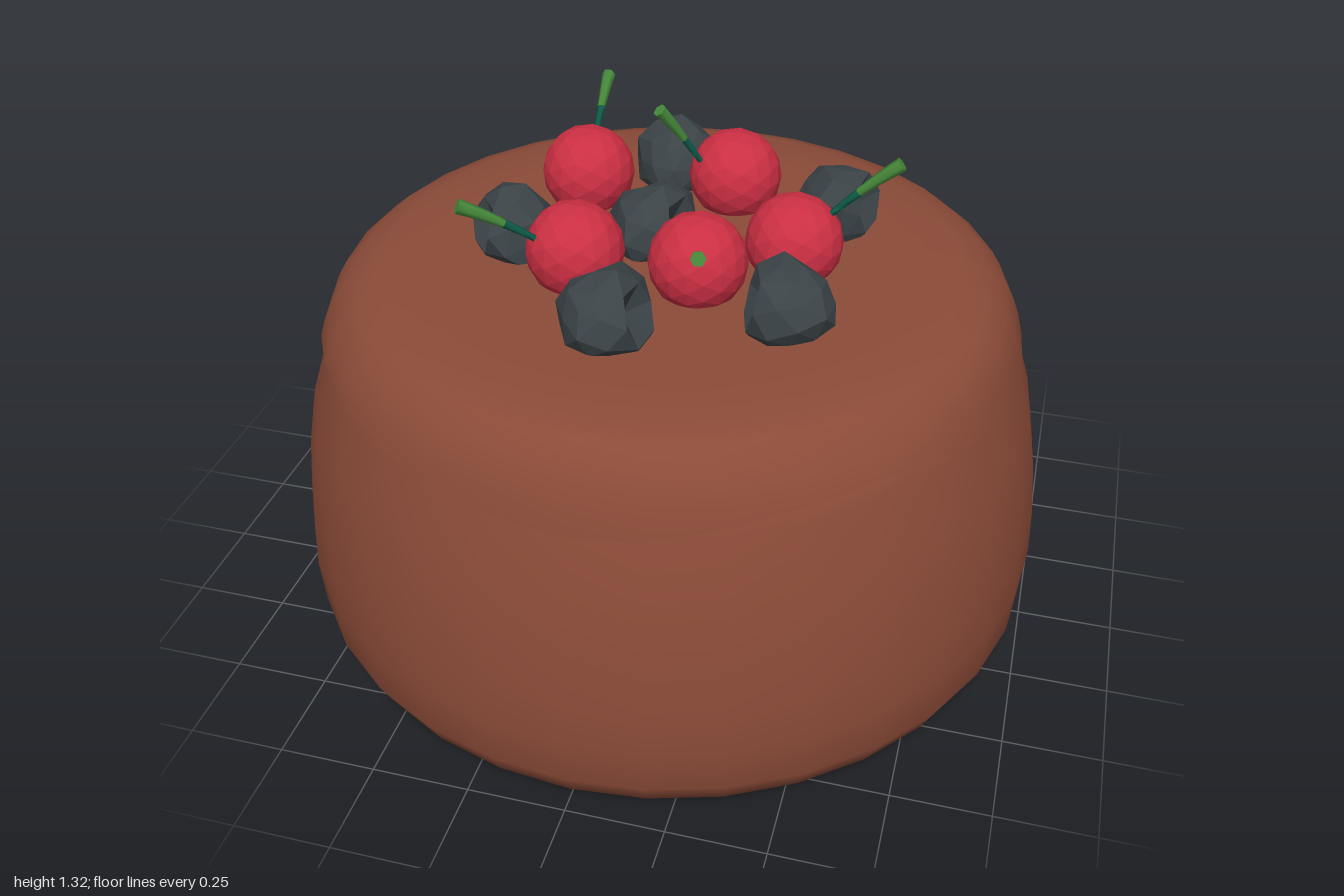
import * as THREE from 'three';
import { mergeVertices, toCreasedNormals } from 'three/addons/utils/BufferGeometryUtils.js';

const material = (name, color) => {
  const m = new THREE.MeshStandardMaterial({ color });
  m.name = name;
  return m;
};

const lathe = (points) => new THREE.LatheGeometry(points.map(([r, y]) => new THREE.Vector2(r, y)), 32);

// Cake body with a rounded foot and a slight inward taper
function cakeGeometry() {
  return lathe([[0, 0.003], [0.5, 0.003], [0.88, 0.005], [0.955, 0.03], [0.99, 0.1], [1, 0.23], [0.995, 0.35],
    [0.98, 0.5], [0.95, 0.66], [0.905, 0.8], [0.88, 0.88], [0.8, 0.92], [0, 0.92]]);
}

// Icing cap whose lower edge rises and falls four times around the cake
function icingGeometry() {
  const profile = [[0.86, 0.83], [0.919, 0.785], [0.903, 0.85], [0.885, 0.9], [0.86, 0.945],
    [0.815, 0.983], [0.75, 1.004], [0.6, 1.006], [0, 1.006]];
  const follow = [1, 1, 0.5, 0.1, 0, 0, 0, 0, 0];
  let geo = lathe(profile);
  const pos = geo.attributes.position;
  for (let i = 0; i < pos.count; i++) {
    const w = follow[i % profile.length];
    const x = pos.getX(i), z = pos.getZ(i);
    const lift = w * 0.039 * (1 - Math.cos(4 * Math.atan2(x, z)));
    const shrink = 1 - lift * 0.15;
    pos.setXYZ(i, x * shrink, pos.getY(i) + lift, z * shrink);
  }
  geo.deleteAttribute('uv');
  geo.deleteAttribute('normal');
  geo = mergeVertices(geo, 1e-4);
  return toCreasedNormals(geo, 1);
}

// Faceted dark berry: wide dented end at +x, tapering to -x
function berryGeometry(seed) {
  const geo = new THREE.IcosahedronGeometry(1, 1);
  const pos = geo.attributes.position;
  const v = new THREE.Vector3();
  for (let i = 0; i < pos.count; i++) {
    v.fromBufferAttribute(pos, i);
    const wobble = 1 + 0.08 * Math.sin(v.x * 5 + v.y * 7 + v.z * 9 + seed * 2.3);
    const dent = v.x > 0.95 ? 0.45 : 1;
    const spread = 1 + 0.2 * v.x;
    pos.setXYZ(i, v.x * 0.118 * wobble * dent, v.y * 0.113 * wobble * spread, v.z * 0.122 * wobble * spread);
  }
  geo.computeVertexNormals();
  return geo;
}

// Tube along part of a curve, widening from r0 to r1, with a cap at the far end
function taperedTube(curve, from, to, r0, r1) {
  const rings = 4, sides = 6, verts = [], index = [];
  const side = new THREE.Vector3(), up = new THREE.Vector3();
  for (let i = 0; i <= rings; i++) {
    const t = from + (to - from) * i / rings;
    const p = curve.getPoint(t), tan = curve.getTangent(t);
    const r = r0 + (r1 - r0) * i / rings;
    side.crossVectors(tan, new THREE.Vector3(0, 1, 0)).normalize();
    up.crossVectors(side, tan);
    for (let j = 0; j < sides; j++) {
      const a = j / sides * Math.PI * 2;
      const q = p.clone().addScaledVector(side, Math.cos(a) * r).addScaledVector(up, Math.sin(a) * r);
      verts.push(q.x, q.y, q.z);
      if (i < rings) {
        const b = i * sides, k = (j + 1) % sides;
        index.push(b + j, b + k, b + sides + j, b + k, b + sides + k, b + sides + j);
      }
    }
  }
  const end = curve.getPoint(to);
  verts.push(end.x, end.y, end.z);
  const last = rings * sides;
  for (let j = 0; j < sides; j++) index.push(last + j, last + (j + 1) % sides, last + sides);
  const geo = new THREE.BufferGeometry();
  geo.setAttribute('position', new THREE.Float32BufferAttribute(verts, 3));
  geo.setIndex(index);
  return toCreasedNormals(geo, 1.1);
}

export function createModel() {
  const chocolate = material('chocolate', 0x8b4b38);
  const cherryRed = material('cherry red', 0xcb2f43);
  const berryDark = material('dark berry', 0x3b4347);
  const stemGreen = material('stem green', 0x46893a);
  const stemDark = material('dark stem green', 0x0e5a48);
  cherryRed.flatShading = berryDark.flatShading = true;
  stemGreen.side = stemDark.side = THREE.DoubleSide;

  const model = new THREE.Group();
  model.name = 'cake';
  const add = (parent, name, geo, mat) => {
    const mesh = new THREE.Mesh(geo, mat);
    mesh.name = name;
    parent.add(mesh);
    return mesh;
  };

  add(model, 'cakeBody', cakeGeometry(), chocolate);
  add(model, 'icing', icingGeometry(), chocolate);

  // Cherries: centre, stem base, stem tip
  const cherries = [
    [[-0.3, 1.085, -0.245], [-0.308, 1.15, -0.34], [-0.332, 1.238, -0.545]],
    [[0.09, 1.085, -0.325], [0.01, 1.15, -0.25], [-0.082, 1.315, -0.178]],
    [[0.315, 1.075, -0.015], [0.4, 1.155, -0.028], [0.565, 1.302, -0.053]],
    [[-0.2, 1.085, 0.185], [-0.27, 1.155, 0.28], [-0.43, 1.262, 0.362]],
    [[0.11, 1.085, 0.165], [0.128, 1.15, 0.27], [0.182, 1.257, 0.452]],
  ];
  const ball = new THREE.IcosahedronGeometry(0.125, 2);
  for (const [centre, base, tip] of cherries) {
    const cherry = new THREE.Group();
    cherry.name = 'cherry';
    model.add(cherry);
    add(cherry, 'cherryFruit', ball, cherryRed).position.set(...centre);
    const a = new THREE.Vector3(...base), c = new THREE.Vector3(...tip);
    const b = a.clone().lerp(c, 0.5).add(new THREE.Vector3(0, 0.012, 0));
    const curve = new THREE.QuadraticBezierCurve3(a, b, c);
    add(cherry, 'stemBase', taperedTube(curve, 0, 0.4, 0.008, 0.011), stemDark);
    add(cherry, 'stemTip', taperedTube(curve, 0.4, 1, 0.011, 0.019), stemGreen);
  }

  // Dark berries: x, z, heading of the dented end
  const berries = [
    [-0.1, -0.425, 0.1, -1], [0.37, -0.265, 1, 0.1], [-0.065, -0.04, 1, 0.3],
    [-0.4, 0.06, -0.8, 0.6], [0.365, 0.265, -0.9, 0.3], [-0.055, 0.415, 1, 0.2],
  ];
  berries.forEach(([x, z, dx, dz], i) => {
    const berry = add(model, 'darkBerry', berryGeometry(i), berryDark);
    berry.position.set(x, 1.055, z);
    berry.rotation.set(0, Math.atan2(-dz, dx), 0.25);
  });
  return model;
}
